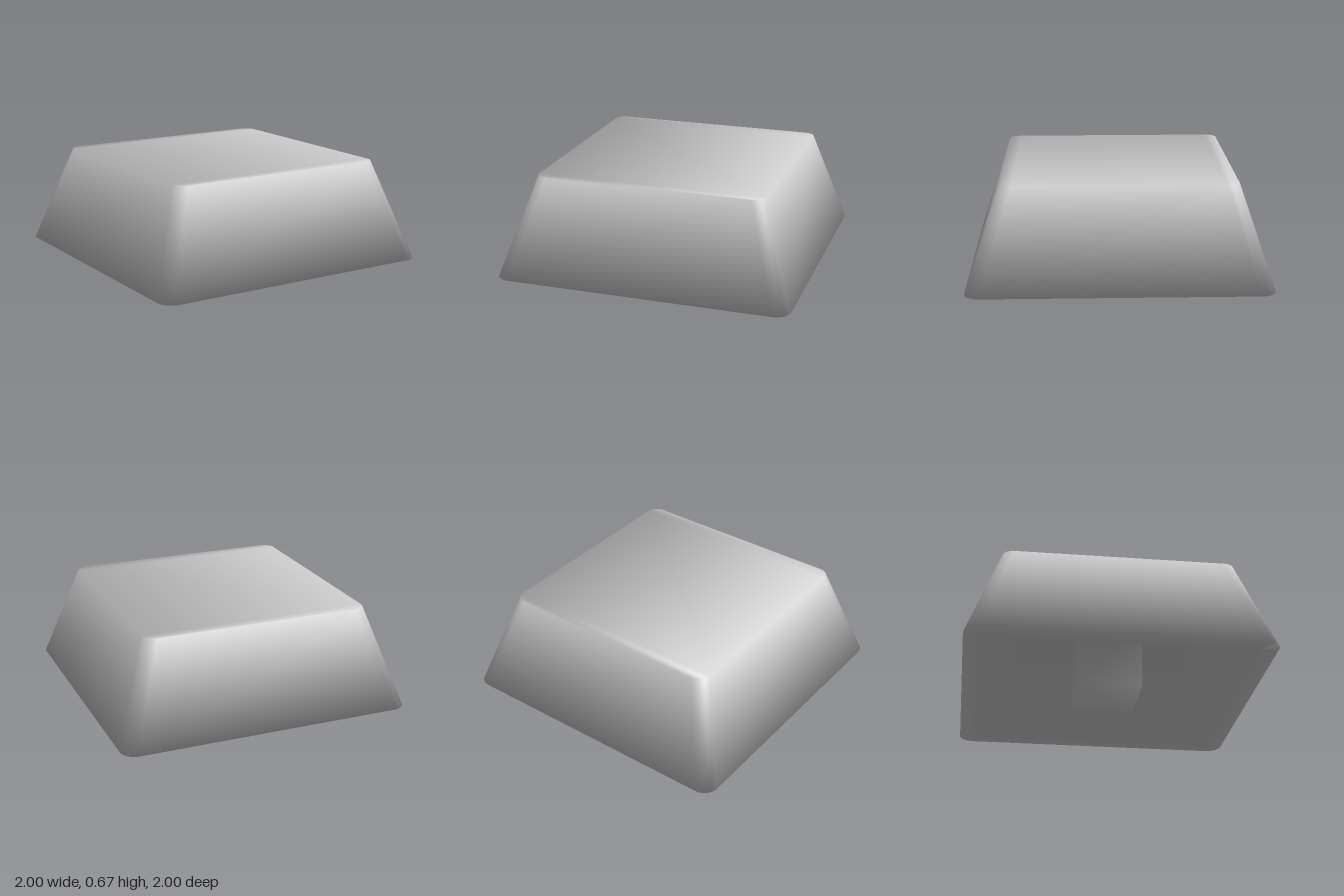
import * as THREE from 'three';

const STEPS = 8; // segments per rounded corner
const COUNT = 4 * (STEPS + 1); // points per loop

// Rounded square loop, counter-clockwise from above; each point carries its outward direction.
// With radius 0 the corners are sharp and the direction is the diagonal.
function roundedSquare(half, radius) {
  const points = [];
  for (let corner = 0; corner < 4; corner++) {
    const mid = Math.PI / 4 + (corner * Math.PI) / 2;
    const cx = Math.sign(Math.sin(mid)) * (half - radius);
    const cz = Math.sign(Math.cos(mid)) * (half - radius);
    for (let i = 0; i <= STEPS; i++) {
      const a = radius > 0 ? ((corner + i / STEPS) * Math.PI) / 2 : mid;
      const nx = Math.sin(a), nz = Math.cos(a);
      points.push({ x: cx + radius * nx, z: cz + radius * nz, nx, nz });
    }
  }
  return points;
}

// Skin a row of loops; out and up of a loop form the soft normal of the surfaces meeting there.
function skin(rings, { bottomCap = false, topCap = false }) {
  const positions = [], normals = [], index = [];
  for (const r of rings) {
    for (const p of roundedSquare(r.half, r.radius)) {
      positions.push(p.x, r.y, p.z);
      normals.push(p.nx * r.out, r.up, p.nz * r.out);
    }
  }
  for (let i = 0; i < rings.length - 1; i++) {
    for (let k = 0; k < COUNT; k++) {
      const a = i * COUNT + k, b = i * COUNT + ((k + 1) % COUNT);
      index.push(a, b, b + COUNT, a, b + COUNT, a + COUNT);
    }
  }
  // Caps are strips running from right to left
  const top = (rings.length - 1) * COUNT;
  for (let a = 0; a < COUNT / 2 - 1; a++) {
    const b = a + 1, c = COUNT - 2 - a, d = COUNT - 1 - a;
    if (topCap) index.push(top + a, top + b, top + c, top + a, top + c, top + d);
    if (bottomCap) index.push(a, c, b, a, d, c);
  }
  const geometry = new THREE.BufferGeometry();
  geometry.setAttribute('position', new THREE.Float32BufferAttribute(positions, 3));
  geometry.setAttribute('normal', new THREE.Float32BufferAttribute(normals, 3));
  geometry.setIndex(index);
  return geometry;
}

export function createModel() {
  const group = new THREE.Group();
  group.name = 'keycap';
  const material = new THREE.MeshStandardMaterial({ color: 0xcccccc });

  // Where the stem meets the cavity ceiling
  const root = { half: 0.222, radius: 0, y: 0.47, out: 0.5, up: -0.87 };

  // Square stem hanging from the ceiling down to the ground
  const stemFoot = { half: 0.222, radius: 0, y: 0, out: 0.82, up: -0.58 };
  const stem = new THREE.Mesh(skin([stemFoot, root], { bottomCap: true }), material);
  stem.name = 'stem';

  // Hollow tapered shell: ceiling, sharp-cornered cavity, rim, rounded outer wall, flat top
  const shell = new THREE.Mesh(skin([
    root,
    { half: 0.67, radius: 0, y: 0.47, out: -0.57, up: -0.82 },
    { half: 0.86, radius: 0, y: 0, out: -0.57, up: -0.82 },
    { half: 1, radius: 0.1, y: 0, out: 0.81, up: -0.58 },
    { half: 0.775, radius: 0.0775, y: 0.67, out: 0.58, up: 0.81 },
  ], { topCap: true }), material);
  shell.name = 'shell';

  group.add(shell, stem);
  return group;
}
